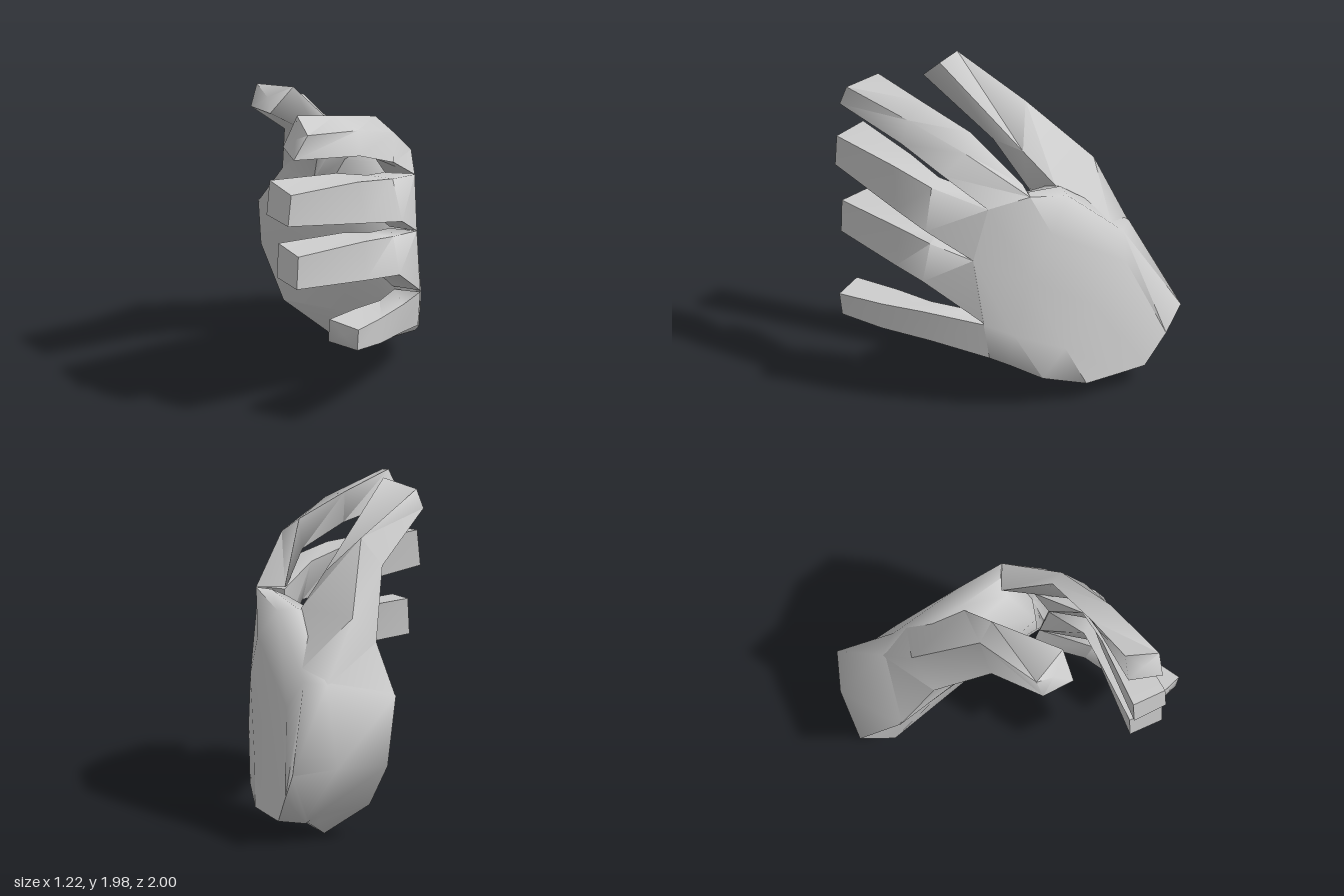
import * as THREE from 'three';
import { toCreasedNormals } from 'three/addons/utils/BufferGeometryUtils.js';

const material = new THREE.MeshStandardMaterial({ color: 0xcccccc });

// Closed skin over a row of equally sized rings of [x, y, z], capped at both ends
function loft(name, rings, crease) {
  const n = rings[0].length;
  const pts = rings.flat().map((p) => new THREE.Vector3(...p));
  const tris = [];
  for (let r = 0; r < rings.length - 1; r++) {
    for (let i = 0; i < n; i++) {
      const a = r * n + i, b = r * n + (i + 1) % n;
      tris.push([a, b, b + n], [a, b + n, a + n]);
    }
  }
  for (const [start, flip] of [[0, true], [(rings.length - 1) * n, false]]) {
    const centre = new THREE.Vector3();
    for (let i = 0; i < n; i++) centre.addScaledVector(pts[start + i], 1 / n);
    const c = pts.push(centre) - 1;
    for (let i = 0; i < n; i++) {
      const a = start + i, b = start + (i + 1) % n;
      tris.push(flip ? [c, b, a] : [c, a, b]);
    }
  }
  // Turn the faces outward if the enclosed volume is negative
  const cross = new THREE.Vector3();
  let volume = 0;
  for (const [a, b, c] of tris) volume += pts[a].dot(cross.crossVectors(pts[b], pts[c]));
  if (volume < 0) tris.forEach((t) => t.reverse());

  const geometry = new THREE.BufferGeometry().setFromPoints(pts);
  geometry.setIndex(tris.flat());
  const mesh = new THREE.Mesh(toCreasedNormals(geometry, crease), material);
  mesh.name = name;
  return mesh;
}

// Four-cornered finger ring: outer top, outer bottom, and the offset to the inner side,
// whose top corner is lifted by the middle number
const fingerRing = ([top, bottom, [dx, lift, dz]]) => [
  top, bottom,
  [bottom[0] + dx, bottom[1] + 0.01, bottom[2] + dz],
  [top[0] + dx, top[1] + lift, top[2] + dz],
];

// Each finger runs root, knuckle, middle, tip
const fingers = {
  indexFinger: [
    [[0.53, 1.39, 0.06], [0.46, 1.33, 0.31], [-0.17, 0, -0.04]],
    [[0.3, 1.65, 0.38], [0.25, 1.51, 0.51], [-0.09, 0.09, -0.08]],
    [[-0.02, 1.79, 0.61], [-0.02, 1.64, 0.65], [-0.09, 0.06, -0.14]],
    [[-0.42, 1.89, 0.82], [-0.51, 1.74, 0.82], [0.01, 0.05, -0.21]],
  ],
  middleFinger: [
    [[0.46, 1.33, 0.31], [0.44, 1.0, 0.4], [-0.14, 0, -0.1]],
    [[0.22, 1.43, 0.57], [0.26, 1.17, 0.63], [-0.12, 0, -0.11]],
    [[-0.05, 1.49, 0.69], [0, 1.22, 0.7], [-0.08, 0.01, -0.16]],
    [[-0.53, 1.52, 0.83], [-0.55, 1.32, 0.83], [-0.06, 0.03, -0.21]],
  ],
  ringFinger: [
    [[0.44, 1.0, 0.4], [0.48, 0.59, 0.35], [-0.14, 0, -0.1]],
    [[0.22, 1.06, 0.58], [0.24, 0.83, 0.64], [-0.12, 0, -0.11]],
    [[0, 1.09, 0.67], [0, 0.85, 0.7], [-0.08, 0.01, -0.16]],
    [[-0.48, 1.11, 0.82], [-0.49, 0.9, 0.82], [-0.05, 0.02, -0.21]],
  ],
  littleFinger: [
    [[0.48, 0.58, 0.35], [0.48, 0.35, 0.31], [-0.13, 0, -0.1]],
    [[0.26, 0.64, 0.65], [0.27, 0.44, 0.6], [-0.11, 0, -0.11]],
    [[0.05, 0.64, 0.82], [0.05, 0.48, 0.82], [-0.1, 0.02, -0.16]],
    [[-0.16, 0.66, 1.0], [-0.16, 0.52, 0.98], [-0.12, 0.02, -0.18]],
  ],
};

// Hand body from wrist to knuckles: five points over the back, then thumb edge,
// three over the palm, and the little-finger edge
const wristRing = [
  [0.61, 0.11, -0.28], [0.585, 0.115, -0.5], [0.56, 0.12, -0.7], [0.55, 0.3, -0.85], [0.53, 0.46, -0.96],
  [0.26, 0.5, -1], [-0.06, 0.49, -0.95], [0, 0.2, -0.72], [0.25, 0, -0.58], [0.36, 0.03, -0.25],
];
// Wrist end bulges towards a blunt apex
const apex = [0.36, 0.09, -0.69];
const wristCap = wristRing.map((p) => p.map((v, i) => THREE.MathUtils.lerp(v, apex[i], 0.85)));
const palmRings = [
  wristCap,
  wristRing,
  [[0.58, 0.19, 0], [0.585, 0.36, -0.15], [0.57, 0.6, -0.35], [0.49, 0.8, -0.61], [0.39, 0.96, -0.64],
    [0.27, 0.96, -0.74], [-0.16, 0.87, -0.73], [0.06, 0.65, -0.42], [0.28, 0.28, -0.15], [0.45, 0.17, 0]],
  [[0.53, 0.3, 0.2], [0.55, 0.5, 0.18], [0.56, 0.85, 0.08], [0.55, 1.12, -0.08], [0.46, 1.31, -0.23],
    [0.34, 1.32, -0.24], [0.2, 1.27, -0.22], [0.18, 0.85, -0.02], [0.32, 0.5, 0.1], [0.45, 0.29, 0.2]],
  [[0.48, 0.35, 0.31], [0.48, 0.58, 0.35], [0.44, 1.0, 0.4], [0.46, 1.33, 0.31], [0.53, 1.39, 0.06],
    [0.44, 1.38, 0.03], [0.34, 1.33, 0.05], [0.3, 0.92, 0.22], [0.37, 0.55, 0.24], [0.45, 0.34, 0.3]],
];

// Thumb from its fleshy base to the tip: upper, inner, lower and web corners
const thumbRings = [
  [[0.27, 0.95, -0.74], [-0.16, 0.86, -0.73], [0.04, 0.82, -0.36], [0.41, 1.0, -0.56]],
  [[0.08, 1.33, -0.6], [-0.09, 1.15, -0.5], [0, 1.17, -0.2], [0.31, 1.32, -0.22]],
  [[-0.06, 1.73, -0.21], [-0.2, 1.54, -0.17], [-0.04, 1.53, 0.02], [0.14, 1.5, -0.09]],
  [[-0.46, 1.95, 0.05], [-0.51, 1.82, 0.08], [-0.46, 1.84, 0.28], [-0.3, 1.98, 0.25]],
];

export function createModel() {
  const hand = new THREE.Group();
  hand.name = 'hand';
  hand.add(loft('palm', palmRings, 1.4), loft('thumb', thumbRings, 1.5));
  for (const [name, rings] of Object.entries(fingers)) {
    hand.add(loft(name, rings.map(fingerRing), 1.4));
  }
  return hand;
}
